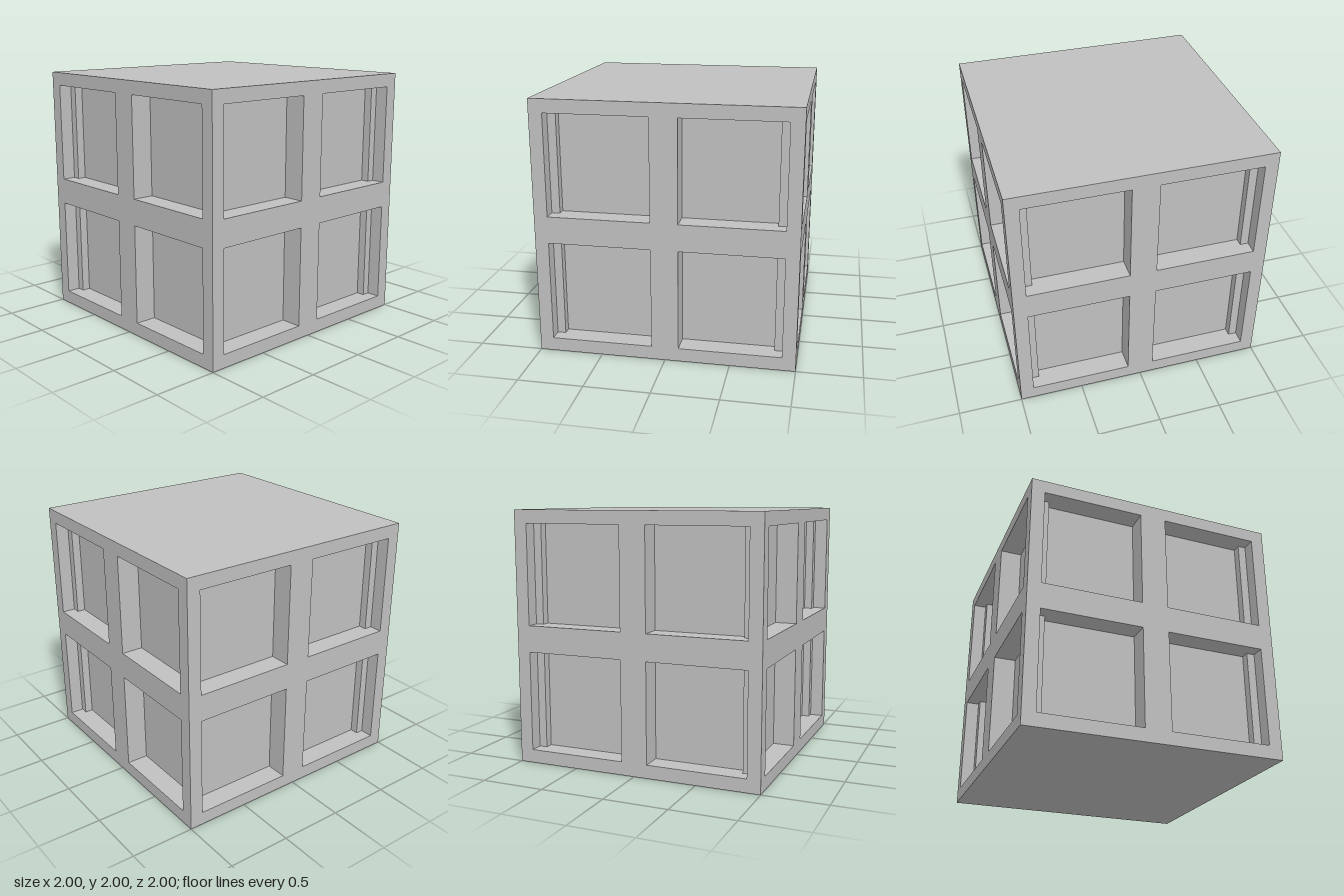
import * as THREE from 'three';

const RIM = 0.895;   // outer edge of the recesses, also the back of the face frames
const CORE = 0.83;   // plane of the recessed panels
const BAR = 0.21;    // width of the middle bars

const grey = new THREE.MeshStandardMaterial({ color: 0xc0c0c0 });
grey.name = 'grey';

function square(Type, x0, y0, x1, y1) {
  const s = new Type();
  s.moveTo(x0, y0);
  s.lineTo(x1, y0);
  s.lineTo(x1, y1);
  s.lineTo(x0, y1);
  s.closePath();
  return s;
}

// One face of the cube with mitred edges, optionally pierced by four openings
function faceFrame(withOpenings) {
  const shape = square(THREE.Shape, -1, -1, 1, 1);
  if (withOpenings) {
    const a = BAR / 2;
    for (const [x0, x1] of [[-RIM, -a], [a, RIM]]) {
      for (const [y0, y1] of [[-RIM, -a], [a, RIM]]) {
        shape.holes.push(square(THREE.Path, x0, y0, x1, y1));
      }
    }
  }
  const geo = new THREE.ExtrudeGeometry(shape, { depth: 1 - RIM, bevelEnabled: false });
  geo.translate(0, 0, RIM);
  const p = geo.attributes.position;
  const mitre = (v) => (Math.abs(v) > 0.99 ? Math.sign(v) * RIM : v);
  for (let i = 0; i < p.count; i++) {
    if (p.getZ(i) < 0.95) p.setXY(i, mitre(p.getX(i)), mitre(p.getY(i)));
  }
  geo.computeVertexNormals();
  return geo;
}

export function createModel() {
  const model = new THREE.Group();
  model.name = 'panelledCube';
  const body = new THREE.Group();
  body.name = 'body';
  body.position.y = 1;
  model.add(body);

  const add = (name, geo) => {
    const mesh = new THREE.Mesh(geo, grey);
    mesh.name = name;
    body.add(mesh);
    return mesh;
  };

  // Four window-like sides
  const sideGeo = faceFrame(true);
  ['frontFrame', 'leftFrame', 'backFrame', 'rightFrame'].forEach((name, i) => {
    add(name, sideGeo).rotation.y = i * Math.PI / 2;
  });

  // Plain top and bottom
  const plainGeo = faceFrame(false);
  add('topPlate', plainGeo).rotation.x = -Math.PI / 2;
  add('bottomPlate', plainGeo).rotation.x = Math.PI / 2;

  // Core whose sides form the recessed panels
  add('core', new THREE.BoxGeometry(2 * CORE, 2 * RIM, 2 * CORE));

  // Middle bars, reaching from the core out to the frames
  add('horizontalBars', new THREE.BoxGeometry(2 * RIM, BAR, 2 * RIM));
  add('verticalBarsFrontBack', new THREE.BoxGeometry(BAR, 2 * RIM, 2 * RIM));
  add('verticalBarsSides', new THREE.BoxGeometry(2 * RIM, 2 * RIM, BAR));

  // Inner corner posts, seen as narrow steps in the recesses
  const w = RIM - CORE;
  const postGeo = new THREE.BoxGeometry(w, 2 * RIM, w);
  const c = (RIM + CORE) / 2;
  for (const sx of [-1, 1]) {
    for (const sz of [-1, 1]) {
      add('innerCornerPost', postGeo).position.set(sx * c, 0, sz * c);
    }
  }
  return model;
}
